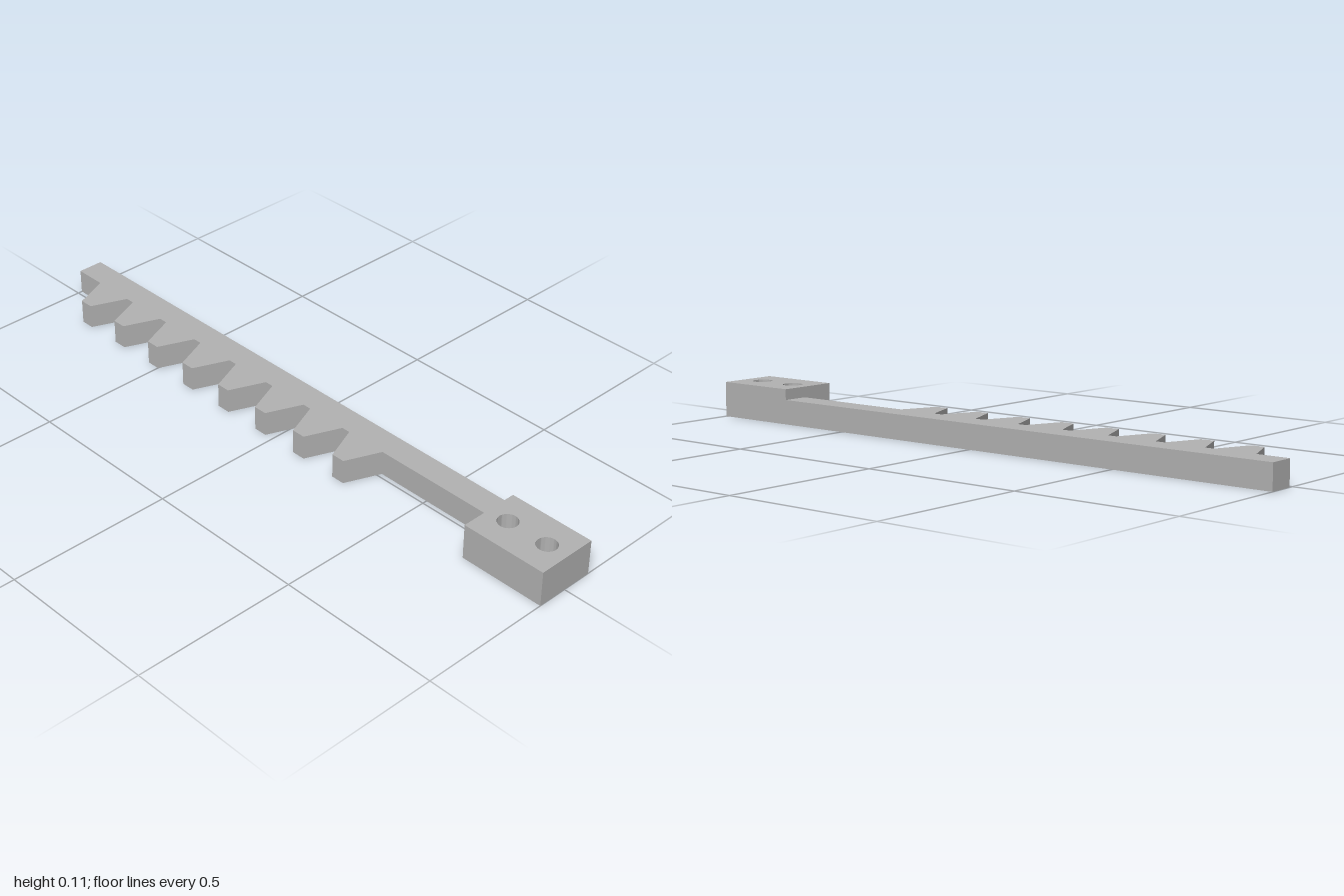
import * as THREE from 'three';
import { toCreasedNormals } from 'three/addons/utils/BufferGeometryUtils.js';

const BACK = -0.094, FRONT = 0.094, ROOT = -0.014;
const BAR_HEIGHT = 0.075, BLOCK_HEIGHT = 0.108, HOLE_FLOOR = 0.045;
const BLOCK_START = 0.733;

// Extrude a plan outline (shape y = -z) upward from y0 to y1
function extrudeUp(shape, y0, y1) {
  const geometry = new THREE.ExtrudeGeometry(shape, {
    depth: y1 - y0, bevelEnabled: false, curveSegments: 32,
  });
  geometry.rotateX(-Math.PI / 2);
  geometry.translate(0, y0, 0);
  return toCreasedNormals(geometry, Math.PI / 6);
}

function planShape(points) {
  return new THREE.Shape(points.map(([x, z]) => new THREE.Vector2(x, -z)));
}

export function createModel() {
  const group = new THREE.Group();
  group.name = 'gearRack';
  const grey = new THREE.MeshStandardMaterial({ color: 0xb2b2b2 });
  grey.name = 'grey metal';

  const add = (name, geometry) => {
    const mesh = new THREE.Mesh(geometry, grey);
    mesh.name = name;
    group.add(mesh);
  };

  // Toothed bar: straight back, eight trapezoid teeth along the front
  const outline = [[-1, BACK], [-1, ROOT]];
  for (let i = 0; i < 8; i++) {
    const x = -0.835 + i * 0.1572;
    outline.push([x - 0.065, ROOT], [x - 0.021, FRONT], [x + 0.021, FRONT], [x + 0.065, ROOT]);
  }
  outline.push([BLOCK_START, ROOT], [BLOCK_START, BACK]);
  add('toothedBar', extrudeUp(planShape(outline), 0, BAR_HEIGHT));

  // Mounting block: solid base with a drilled upper part
  const rectangle = [[BLOCK_START, BACK], [BLOCK_START, FRONT], [1, FRONT], [1, BACK]];
  add('mountingBlockBase', extrudeUp(planShape(rectangle), 0, HOLE_FLOOR));

  const drilled = planShape(rectangle);
  for (const x of [0.799, 0.932]) {
    const hole = new THREE.Path();
    hole.absarc(x, 0, 0.03, 0, Math.PI * 2, true);
    drilled.holes.push(hole);
  }
  add('mountingBlockTop', extrudeUp(drilled, HOLE_FLOOR, BLOCK_HEIGHT));

  return group;
}
